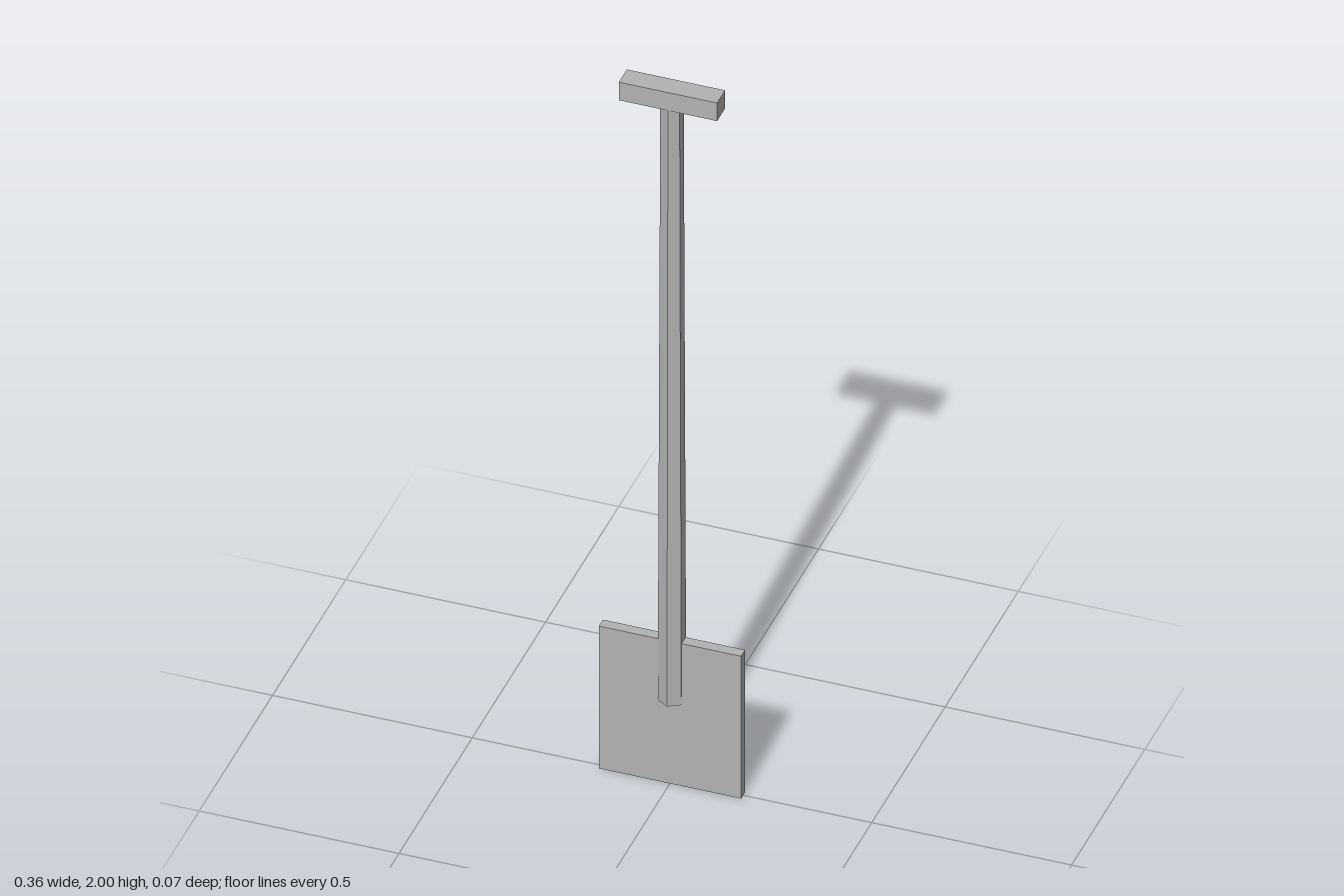
import * as THREE from 'three';

export function createModel() {
  const group = new THREE.Group();
  group.name = 'shovel';

  const grey = new THREE.MeshStandardMaterial({ color: 0xb2b2b2, flatShading: true });
  grey.name = 'grey';

  function add(name, geometry, y) {
    const mesh = new THREE.Mesh(geometry, grey);
    mesh.name = name;
    mesh.position.y = y;
    group.add(mesh);
  }

  // flat square blade standing on the ground
  const bladeHeight = 0.41;
  add('blade', new THREE.BoxGeometry(0.356, bladeHeight, 0.028), bladeHeight / 2);

  // tapered six-sided shaft, its lower end running through the blade
  const shaftBottom = 0.235, shaftTop = 1.95;
  add('shaft', new THREE.CylinderGeometry(0.028, 0.034, shaftTop - shaftBottom, 6),
    (shaftBottom + shaftTop) / 2);

  // crossbar grip
  add('grip', new THREE.BoxGeometry(0.246, 0.052, 0.055), 1.974);

  return group;
}
